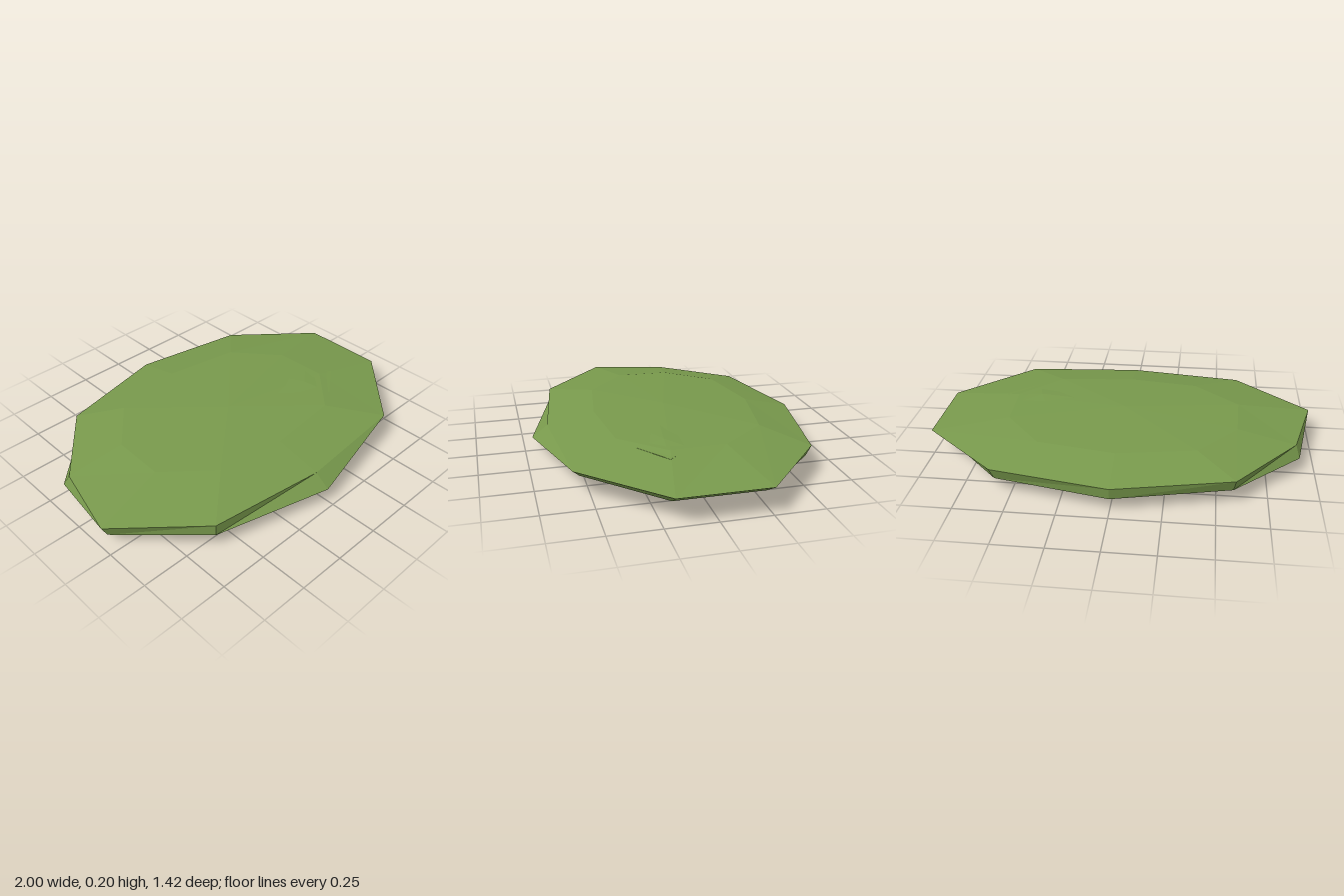
import * as THREE from 'three';

// Corner outlines [x, z], clockwise from the back as seen from above
const UPPER_RIM = [[0, -0.71], [0.6, -0.6], [1, -0.25], [1, 0.2], [0.62, 0.58],
  [0, 0.63], [-0.61, 0.55], [-1, 0.2], [-0.9, -0.2], [-0.59, -0.58]];
const LOWER_RIM = [[0, -0.7], [0.58, -0.58], [0.9, -0.25], [0.9, 0.19], [0.54, 0.54],
  [0, 0.71], [-0.61, 0.55], [-0.97, 0.2], [-0.92, -0.23], [-0.58, -0.56]];
const UPPER_FACET = [[0, -0.47], [0.4, -0.4], [0.6, -0.16], [0.61, 0.12], [0.4, 0.34],
  [0, 0.38], [-0.37, 0.33], [-0.61, 0.12], [-0.6, -0.16], [-0.4, -0.4]];
const LOWER_FACET = [[0, -0.44], [0.38, -0.38], [0.58, -0.15], [0.58, 0.12], [0.38, 0.34],
  [0, 0.41], [-0.39, 0.35], [-0.62, 0.12], [-0.6, -0.15], [-0.38, -0.38]];

const ring = (outline, y) => outline.map(([x, z]) => [x, y, z]);
const point = (x, y, z, n) => Array.from({ length: n }, () => [x, y, z]);

// Joins closed rings from top to bottom with flat-shaded faces
function loft(rings) {
  const pos = [];
  const tri = (a, b, c) => {
    if (a !== b && b !== c && a !== c) pos.push(...a, ...b, ...c);
  };
  const same = (a, b) => a.every((v, k) => v === b[k]);
  for (let r = 0; r < rings.length - 1; r++) {
    const U = rings[r], L = rings[r + 1], n = U.length;
    for (let i = 0; i < n; i++) {
      const j = (i + 1) % n;
      if (!same(U[i], U[j])) tri(U[i], U[j], L[j]);
      if (!same(L[i], L[j])) tri(U[i], L[j], L[i]);
    }
  }
  const geo = new THREE.BufferGeometry();
  geo.setAttribute('position', new THREE.Float32BufferAttribute(pos, 3));
  geo.computeVertexNormals();
  return geo;
}

export function createModel() {
  const group = new THREE.Group();
  group.name = 'flatPad';
  const green = new THREE.MeshStandardMaterial({ color: 0x78994c, flatShading: true });
  green.name = 'mossGreen';

  // Flattened faceted disc
  const disc = new THREE.Mesh(loft([
    point(0, 0.205, 0, 10),
    ring(UPPER_FACET, 0.188),
    ring(UPPER_RIM, 0.135),
    ring(LOWER_RIM, 0.075),
    ring(LOWER_FACET, 0.024),
    point(0, 0, 0, 10),
  ]), green);
  disc.name = 'disc';
  group.add(disc);

  // Shallow bump on the upper surface
  const edge = [[0.2, 0.196, 0.08], [0.43, 0.191, 0], [0.6, 0.187, 0.02],
    [0.69, 0.178, 0.14], [0.52, 0.182, 0.27], [0.3, 0.189, 0.2]];
  const bump = new THREE.Mesh(loft([
    point(0.48, 0.196, 0.12, edge.length),
    edge,
    edge.map(([x, y, z]) => [x, y - 0.012, z]),
  ]), green);
  bump.name = 'surfaceBump';
  group.add(bump);

  return group;
}
